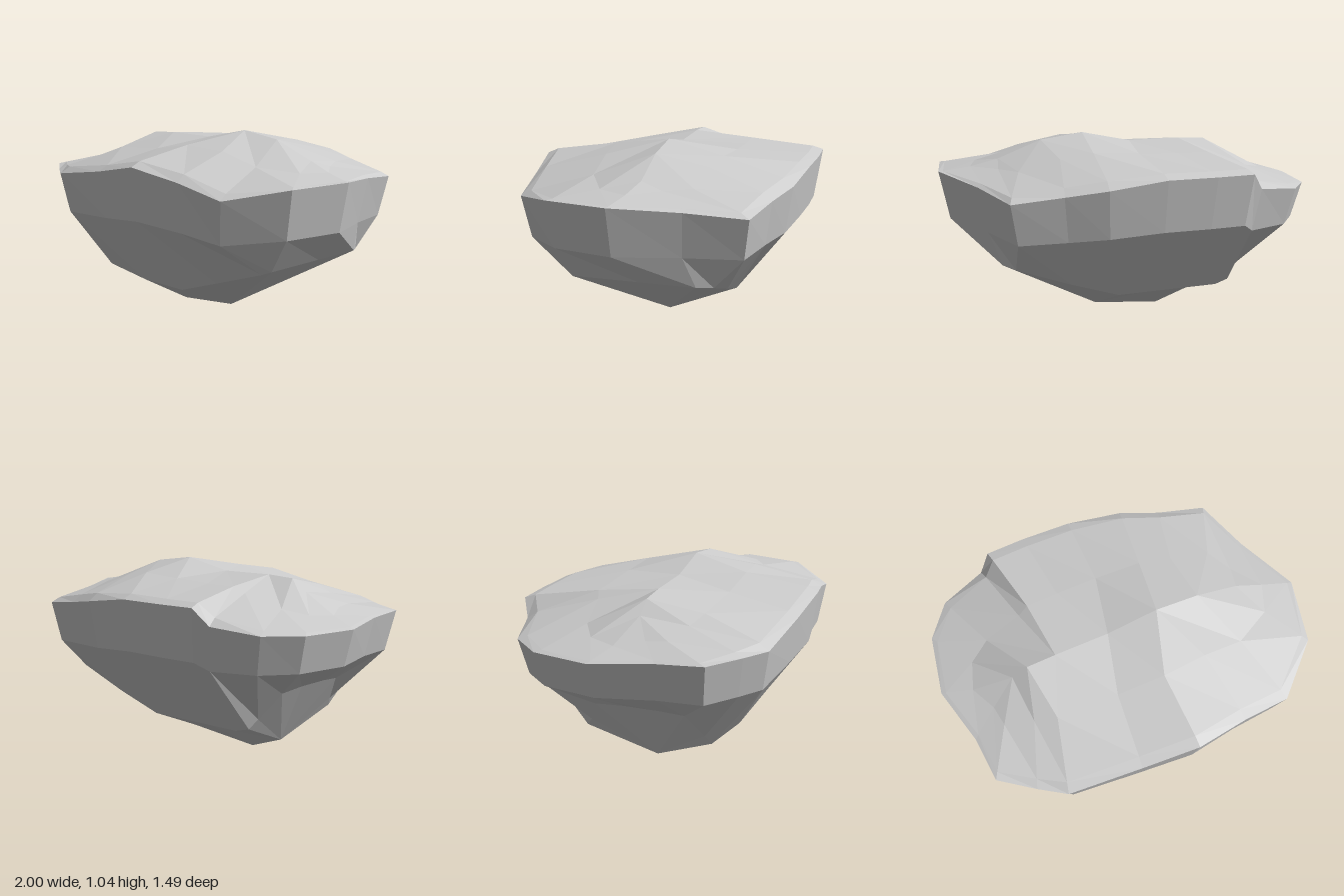
import * as THREE from 'three';

// Each row: rim x, y, z, then the matching point of the lower hull x, y, z
const OUTLINE = [
  [1, 0.86, 0.08, 0.75, 0.41, 0], [0.93, 0.855, 0.42, 0.75, 0.41, 0.36],
  [0.69, 0.8, 0.66, 0.7, 0.39, 0.38], [0.42, 0.86, 0.69, 0.4, 0.29, 0.4],
  [0.13, 0.91, 0.74, 0.13, 0.2, 0.4], [-0.18, 0.85, 0.71, -0.18, 0.2, 0.4],
  [-0.58, 0.79, 0.67, -0.53, 0.22, 0.36], [-0.72, 0.79, 0.58, -0.56, 0.27, 0.33],
  [-0.9, 0.79, 0.45, -0.65, 0.41, 0.25], [-0.92, 0.78, 0.2, -0.66, 0.42, 0.12],
  [-1, 0.765, -0.12, -0.66, 0.42, -0.08], [-0.94, 0.765, -0.44, -0.66, 0.41, -0.25],
  [-0.8, 0.77, -0.61, -0.56, 0.27, -0.32], [-0.55, 0.8, -0.69, -0.53, 0.22, -0.36],
  [-0.48, 0.89, -0.74, -0.45, 0.2, -0.37], [-0.27, 0.89, -0.745, -0.27, 0.2, -0.37],
  [0, 0.89, -0.735, 0, 0.2, -0.37], [0.3, 0.85, -0.7, 0.13, 0.2, -0.37],
  [0.51, 0.82, -0.63, 0.4, 0.29, -0.38], [0.77, 0.79, -0.57, 0.7, 0.4, -0.38],
  [0.86, 0.825, -0.26, 0.75, 0.41, -0.3],
];

// Crest along the top and keel along the bottom, as x, y
const CREST = [[-1, 0.8], [-0.85, 0.83], [-0.62, 0.91], [-0.53, 0.975], [-0.37, 0.985],
  [-0.07, 0.985], [0.21, 1.045], [0.45, 1.015], [0.69, 0.925], [0.93, 0.88], [1, 0.86]];
const KEEL = [[-0.45, 0.07], [-0.25, 0], [0.13, 0.04]];

const nearest = (line, x) =>
  line.reduce((a, b) => (Math.abs(b[0] - x) < Math.abs(a[0] - x) ? b : a));

function crestHeight(x) {
  for (let i = 1; i < CREST.length; i++) {
    const [x0, y0] = CREST[i - 1], [x1, y1] = CREST[i];
    if (x <= x1) return y0 + (y1 - y0) * (x - x0) / (x1 - x0);
  }
  return CREST[CREST.length - 1][1];
}

// Ring of the top surface: s is the way inward, f the rise towards the crest
const topRing = (s, f) => OUTLINE.map(([x, y, z]) => {
  const px = x * (1 - 0.3 * s);
  return new THREE.Vector3(px, y + (crestHeight(px) - y) * f, z * (1 - s));
});

// Joins rings, listed from top to bottom, into faceted bands
function bands(name, rings, material) {
  const positions = [];
  const triangle = new THREE.Triangle();
  const add = (a, b, c) => {
    if (triangle.set(a, b, c).getArea() < 1e-6) return;
    for (const p of [a, b, c]) positions.push(p.x, p.y, p.z);
  };
  for (let r = 0; r + 1 < rings.length; r++) {
    const upper = rings[r], lower = rings[r + 1];
    for (let i = 0; i < upper.length; i++) {
      const j = (i + 1) % upper.length;
      add(lower[i], upper[i], upper[j]);
      add(lower[i], upper[j], lower[j]);
    }
  }
  const geometry = new THREE.BufferGeometry();
  geometry.setAttribute('position', new THREE.Float32BufferAttribute(positions, 3));
  geometry.computeVertexNormals();
  const mesh = new THREE.Mesh(geometry, material);
  mesh.name = name;
  return mesh;
}

export function createModel() {
  const group = new THREE.Group();
  group.name = 'rock';
  const stone = new THREE.MeshStandardMaterial({ color: 0xcccccc, flatShading: true });

  const rim = topRing(0, 0);
  const crest = OUTLINE.map(([x]) => new THREE.Vector3(...nearest(CREST, x * 0.7), 0));
  const wallFoot = rim.map((p) =>
    new THREE.Vector3(p.x * 0.945, 0.57 + Math.max(0, p.y - 0.8) * 0.47, p.z * 0.945));
  const hull = OUTLINE.map((o) => new THREE.Vector3(o[3], o[4], o[5]));
  const keel = hull.map((p) => new THREE.Vector3(...nearest(KEEL, p.x), 0.02));

  // Gently domed top with a narrow bevel at the rim
  group.add(bands('topSurface', [crest, topRing(0.55, 0.67), topRing(0.08, 0.22), rim], stone));
  // Steep band round the side
  group.add(bands('sideWall', [rim, wallFoot], stone));
  // Underside tapering to the keel
  group.add(bands('underside', [wallFoot, hull, keel], stone));
  return group;
}
